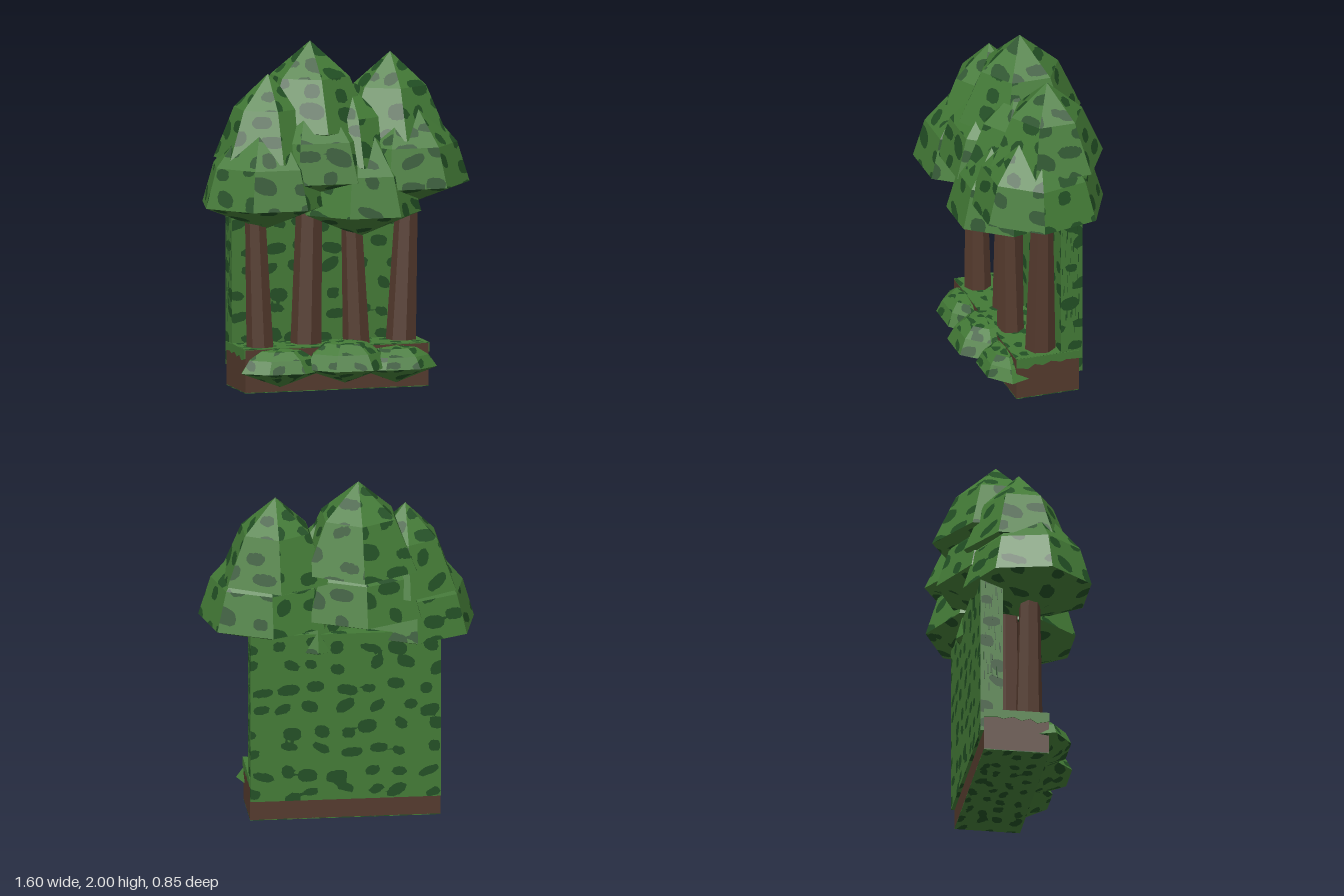
import * as THREE from 'three';

const mat = (name, color) => Object.assign(new THREE.MeshStandardMaterial({ color }), { name });

// Repeatable pseudo-random value for a grid cell
const hash = (i, j, k) => {
  const s = Math.sin(i * 127.1 + j * 311.7 + k * 74.7) * 43758.5453;
  return s - Math.floor(s);
};

// Positive inside rounded blobs scattered on a jittered grid
function blob(u, v, s) {
  const h = s * 0.75, ci = Math.floor(u / s), cj = Math.floor(v / h);
  let best = -1;
  for (let i = ci - 1; i <= ci + 1; i++) for (let j = cj - 1; j <= cj + 1; j++) {
    const du = u - (i + 0.2 + 0.6 * hash(i, j, 1)) * s;
    const dv = v - (j + 0.25 + 0.5 * hash(i, j, 2)) * h + du * (hash(i, j, 5) - 0.5) * 0.8;
    const rx = s * (0.2 + 0.18 * hash(i, j, 3)), ry = s * (0.15 + 0.1 * hash(i, j, 4));
    best = Math.max(best, 1 - Math.abs(du / rx) ** 2.6 - Math.abs(dv / ry) ** 2.6);
  }
  return best;
}

// Cuts each flat face along the blob outlines: group 0 is leaf, group 1 is spots
function spotted(geometry, size, step = 0.042) {
  const pos = geometry.toNonIndexed().getAttribute('position');
  const out = [[], []];
  const emit = (list, poly) => {
    for (let i = 1; i + 1 < poly.length; i++)
      for (const q of [poly[0], poly[i], poly[i + 1]]) list.push(q.x, q.y, q.z);
  };
  const clip = (tri, f, sign) => {
    const poly = [];
    tri.forEach((a, i) => {
      const k = (i + 1) % 3, fa = f[i] * sign, fb = f[k] * sign;
      if (fa >= 0) poly.push(a);
      if ((fa >= 0) !== (fb >= 0)) poly.push(a.clone().lerp(tri[k], fa / (fa - fb)));
    });
    return poly;
  };
  // Halve the longest edge until the piece is small enough to cut
  const divide = (tri, u, v) => {
    const len = tri.map((p, i) => p.distanceTo(tri[(i + 1) % 3]));
    const i = len.indexOf(Math.max(...len));
    if (len[i] <= step) {
      const f = tri.map(p => blob(p.dot(u) + 5, p.dot(v) + 5, size));
      emit(out[0], clip(tri, f, -1));
      emit(out[1], clip(tri, f, 1));
      return;
    }
    const [a, b, c] = [tri[i], tri[(i + 1) % 3], tri[(i + 2) % 3]];
    const m = a.clone().lerp(b, 0.5);
    divide([a, m, c], u, v);
    divide([m, b, c], u, v);
  };
  for (let t = 0; t < pos.count; t += 3) {
    const tri = [0, 1, 2].map(i => new THREE.Vector3().fromBufferAttribute(pos, t + i));
    const n = tri[1].clone().sub(tri[0]).cross(tri[2].clone().sub(tri[0]));
    if (n.length() < 1e-7) continue;
    n.normalize();
    const u = new THREE.Vector3(n.z, 0, -n.x);
    if (u.length() < 0.01) u.set(1, 0, 0);
    u.normalize();
    divide(tri, u, n.clone().cross(u));
  }
  const g = new THREE.BufferGeometry();
  g.setAttribute('position', new THREE.Float32BufferAttribute(out[0].concat(out[1]), 3));
  g.addGroup(0, out[0].length / 3, 0);
  g.addGroup(out[0].length / 3, out[1].length / 3, 1);
  g.computeVertexNormals();
  return g;
}

// Faceted turned solid from [radius, height] pairs, bottom to top
const facet = (profile, sides, start) =>
  new THREE.LatheGeometry(profile.map(p => new THREE.Vector2(...p)), sides, start);

// Box given by its limits
const block = (x0, x1, y0, y1, z0, z1) =>
  new THREE.BoxGeometry(x1 - x0, y1 - y0, z1 - z0).translate((x0 + x1) / 2, (y0 + y1) / 2, (z0 + z1) / 2);

export function createModel() {
  const model = new THREE.Group();
  model.name = 'forest';
  const leaf = mat('leaf green', 0x437a36);
  const spot = mat('dark leaf green', 0x224f24);
  const bark = mat('bark brown', 0x543a2d);
  const add = (name, geometry, material) => {
    const mesh = new THREE.Mesh(geometry, material);
    mesh.name = name;
    model.add(mesh);
  };
  const addSpotted = (name, geometry, size, step) => add(name, spotted(geometry, size, step), [leaf, spot]);

  // Ground block with grassy top and underside
  add('groundBlock', block(-0.57, 0.53, 0.004, 0.25, -0.2, 0.18), bark);
  addSpotted('grassTop', block(-0.57, 0.53, 0.249, 0.256, -0.2, 0.18), 0.12);
  addSpotted('underside', block(-0.57, 0.53, 0, 0.005, -0.2, 0.18), 0.13);

  // Ragged grass edge hanging over each end
  const drape = new THREE.Shape([
    [-0.2, 0.255], [-0.2, 0.205], [-0.12, 0.21], [-0.09, 0.2], [-0.03, 0.215], [0.02, 0.195],
    [0.07, 0.21], [0.11, 0.185], [0.18, 0.2], [0.18, 0.255],
  ].map(p => new THREE.Vector2(-p[0], p[1])));
  for (const x of [-0.574, 0.528]) {
    const g = new THREE.ExtrudeGeometry(drape, { depth: 0.006, bevelEnabled: false });
    add('grassEdge', g.rotateY(Math.PI / 2).translate(x, 0, 0), leaf);
  }

  // Hedge wall behind the trees, with a skirt over the back of the block
  addSpotted('hedgeWall', block(-0.57, 0.53, 0.25, 1.13, -0.22, -0.09), 0.17);
  addSpotted('hedgeSkirt', block(-0.57, 0.53, 0.12, 0.25, -0.22, -0.199), 0.17);

  // Fine dark flecks on the ends of the hedge
  for (const x of [-0.571, 0.531]) for (let i = 0; i < 36; i++) {
    const y = 0.3 + 0.75 * hash(i, 3, 7), z = -0.21 + 0.11 * hash(i, 8, 9);
    const h = 0.02 + 0.04 * hash(i, 1, 4);
    add('hedgeFleck', block(x - 0.002, x + 0.002, y, y + h, z, z + 0.004), spot);
  }

  // Leaning tapered trunks: bottom x, top x, z, bottom radius, top radius, top y
  for (const [x0, x1, z, r0, r1, top] of [
    [-0.45, -0.48, 0.08, 0.08, 0.06, 1.05],
    [-0.15, -0.125, 0, 0.092, 0.075, 1.25],
    [0.128, 0.098, 0.08, 0.08, 0.06, 1.0],
    [0.42, 0.46, 0, 0.09, 0.062, 1.2],
  ]) {
    const h = top - 0.25;
    const g = new THREE.CylinderGeometry(r1, r0, h, 7, 1).translate(0, h / 2, 0).toNonIndexed();
    const p = g.getAttribute('position');
    for (let i = 0; i < p.count; i++) p.setX(i, p.getX(i) + (x1 - x0) * p.getY(i) / h);
    g.computeVertexNormals();
    add('trunk', g.translate(x0, 0.25, z), bark);
  }

  // Crowns: lower [x, z, radius, rim y] and upper [x, z, radius, rim y, tip y]
  for (const [[lx, lz, lr, ly], [ux, uz, ur, uy, tip]] of [
    [[-0.43, 0.08, 0.38, 1.08], [-0.39, 0.03, 0.32, 1.34, 1.83]],
    [[-0.13, 0.003, 0.413, 1.22], [-0.11, -0.06, 0.37, 1.5, 2.0]],
    [[0.14, 0.1, 0.355, 1.02], [0.095, 0.04, 0.3, 1.3, 1.75]],
    [[0.413, 0.01, 0.397, 1.17], [0.37, -0.06, 0.34, 1.44, 1.92]],
  ]) {
    const lower = [[0, ly - 0.145], [lr, ly], [lr * 0.82, ly + 0.23], [0, ly + 0.61]];
    addSpotted('lowerCrown', facet(lower, 7, Math.PI / 7).translate(lx, 0, lz), 0.21);
    const upper = [[0, uy - 0.1], [ur, uy], [ur * 0.63, tip - (tip - uy) * 0.4], [0, tip]];
    addSpotted('upperCrown', facet(upper, 6, 0).translate(ux, 0, uz), 0.21);
  }

  // Low bushes along the front: x, z, x radius, z radius, rim y, top y
  for (const [x, z, rx, rz, rim, top] of [
    [-0.36, 0.18, 0.25, 0.16, 0.12, 0.255],
    [0.025, 0.19, 0.26, 0.22, 0.132, 0.292],
    [0.335, 0.18, 0.24, 0.16, 0.12, 0.245],
  ]) {
    const h = top - rim;
    const profile = [[0, rim - 0.09], [1, rim], [0.8, rim + h * 0.55], [0.5, rim + h * 0.9], [0, top]];
    addSpotted('bush', facet(profile, 7, Math.PI / 7).scale(rx, 1, rz).translate(x, 0, z), 0.15, 0.032);
  }
  return model;
}
